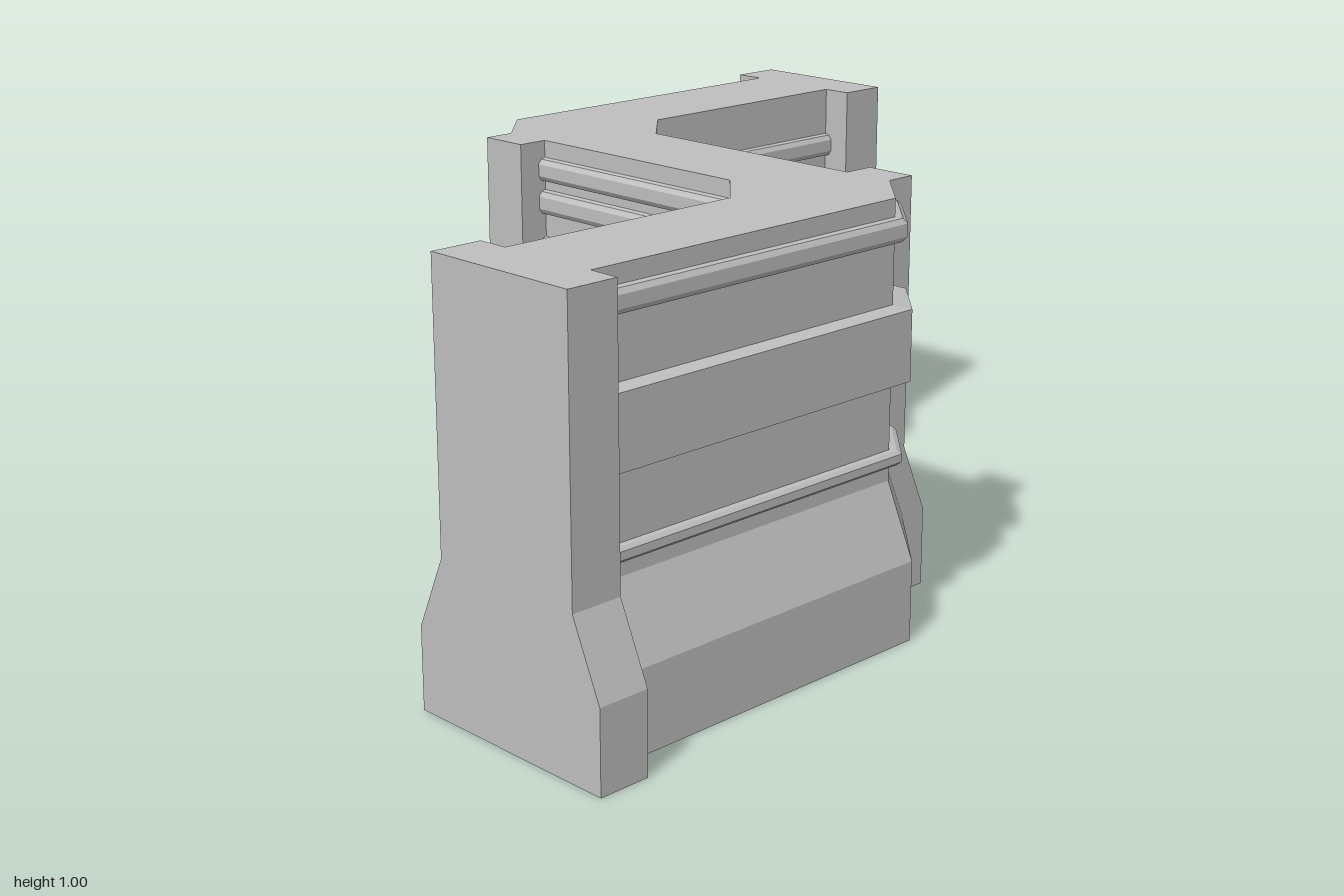
import * as THREE from 'three';

const stone = new THREE.MeshStandardMaterial({ color: 0xbfbfbf });
stone.name = 'grey stone';

// Flat-shaded surface between successive rings of [x, y, z] points
function loft(rings, { closed = true, skip = () => false, cap = false } = {}) {
  const pos = [];
  for (let k = 0; k < rings.length - 1; k++) {
    const n = rings[k].length;
    for (let i = 0; i < (closed ? n : n - 1); i++) {
      if (skip(k, i)) continue;
      const j = (i + 1) % n;
      const [a, b, c, d] = [rings[k][i], rings[k][j], rings[k + 1][j], rings[k + 1][i]];
      pos.push(...a, ...b, ...c, ...a, ...c, ...d);
    }
  }
  // close the start of an open sweep
  if (cap) for (let k = 1; k < rings.length - 1; k++) pos.push(...rings[0][0], ...rings[k][0], ...rings[k + 1][0]);
  const g = new THREE.BufferGeometry();
  g.setAttribute('position', new THREE.Float32BufferAttribute(pos, 3));
  g.computeVertexNormals();
  return g;
}

function add(group, name, geometry) {
  const mesh = new THREE.Mesh(geometry, stone);
  mesh.name = name;
  group.add(mesh);
  return mesh;
}

const shapeOf = (pts) => new THREE.Shape(pts.map(([x, y]) => new THREE.Vector2(x, y)));

// Solid with a wide foot that slopes in to a narrower upper part
function battered(group, name, foot, upper, skip) {
  const at = (pts, y) => pts.map(([x, z]) => [x, y, z]);
  add(group, name, loft([at(foot, 0), at(foot, 0.19), at(upper, 0.36), at(upper, 1)], { skip }));
  const top = new THREE.ShapeGeometry(shapeOf(upper.map(([x, z]) => [x, -z])));
  add(group, name + 'Top', top.rotateX(-Math.PI / 2).translate(0, 1, 0));
  add(group, name + 'Base', new THREE.ShapeGeometry(shapeOf(foot)).rotateX(Math.PI / 2));
}

// Moulding along a wall path; path points are [x, z, outX, outZ]
function moulding(group, name, path, section, y, cap) {
  const rings = section.map(([d, h]) => path.map(([x, z, ox, oz]) => [x + ox * d, y + h, z + oz * d]));
  add(group, name, loft(rings, { closed: false, cap }));
}

const rect = (x0, x1, z0, z1) => [[x0, z1], [x1, z1], [x1, z0], [x0, z0]];
const turned = (pts) => [...pts, ...pts.map(([x, z]) => [-x, -z])];

const rail = (h) => [[0, -h], [0.012, -h * 0.9], [0.02, -h * 0.5], [0.02, h * 0.5], [0.012, h * 0.9], [0, h]];
const panel = [[0, -0.092], [0.03, -0.082], [0.03, 0.082], [0, 0.092]];

const outerPath = [[-0.875, 0.625, 0, 1], [0, 0.625, 1, 1], [0.125, 0.5, 1, 1], [0.125, 0.45, 1, 0]];
const panelPath = [[-0.875, 0.625, 1, 1], ...outerPath.slice(1)];
const middlePath = [[0.125, 0.45, 1, 0], [0.125, -0.3, 1, 0]];
const innerPath = [[0.125, 0.45, 1, 0], [0.125, -0.25, 1, 0.414], [0.25, -0.375, 0.414, 1], [0.9, -0.375, 0, 1]];

// Octagon with cut corners, counter-clockwise
function octagon(x0, x1, y0, y1, c) {
  return [[x0 + c, y0], [x1 - c, y0], [x1, y0 + c], [x1, y1 - c],
    [x1 - c, y1], [x0 + c, y1], [x0, y1 - c], [x0, y0 + c]];
}

// Everything that occurs once on each side of the S-shaped wall
function createHalf() {
  const half = new THREE.Group();

  // pillars at the end and at the outer corner
  battered(half, 'endPillar', rect(-1, -0.875, 0.225, 0.775), rect(-1, -0.875, 0.3, 0.7));
  battered(half, 'cornerPillar', rect(0, 0.275, 0.375, 0.5), rect(0, 0.2, 0.375, 0.5));

  // raised panels and rails
  moulding(half, 'outerPanel', panelPath, panel, 0.672, true);
  moulding(half, 'middlePanel', middlePath, panel, 0.672);
  for (const path of [outerPath, middlePath]) {
    moulding(half, 'upperRail', path, rail(0.029), 0.93);
    moulding(half, 'lowerRail', path, rail(0.019), 0.413);
  }
  for (const y of [0.85, 0.485]) moulding(half, 'innerRail', innerPath, rail(0.03), y);

  // inner wall face with its sunken eight-sided recess
  const rim = octagon(0.255, 0.81, 0.55, 0.795, 0.06);
  const floor = octagon(0.275, 0.79, 0.567, 0.778, 0.052);
  const face = shapeOf([[0.25, 0.36], [0.9, 0.36], [0.9, 1], [0.25, 1]]);
  face.holes.push(shapeOf(rim));
  add(half, 'innerFace', new THREE.ShapeGeometry(face).translate(0, 0, -0.375));
  const at = (pts, z) => pts.map(([x, y]) => [x, y, z]);
  add(half, 'recessBevel', loft([at(rim, -0.375), at(floor, -0.405)]));
  add(half, 'recessFloor', new THREE.ShapeGeometry(shapeOf(floor)).translate(0, 0, -0.405));
  return half;
}

export function createModel() {
  const model = new THREE.Group();
  model.name = 'corneredWall';

  // main wall; the two inner upper faces are left open for the recessed faces
  const foot = turned([[-0.9, 0.7], [0, 0.7], [0.2, 0.5], [0.2, -0.22], [0.28, -0.3], [0.9, -0.3]]);
  const upper = turned([[-0.9, 0.625], [0, 0.625], [0.125, 0.5], [0.125, -0.25], [0.25, -0.375], [0.9, -0.375]]);
  battered(model, 'wall', foot, upper, (k, i) => k === 2 && i % 6 === 4);

  const front = createHalf();
  front.name = 'frontSide';
  const back = createHalf();
  back.name = 'backSide';
  back.rotation.y = Math.PI;
  model.add(front, back);
  return model;
}
